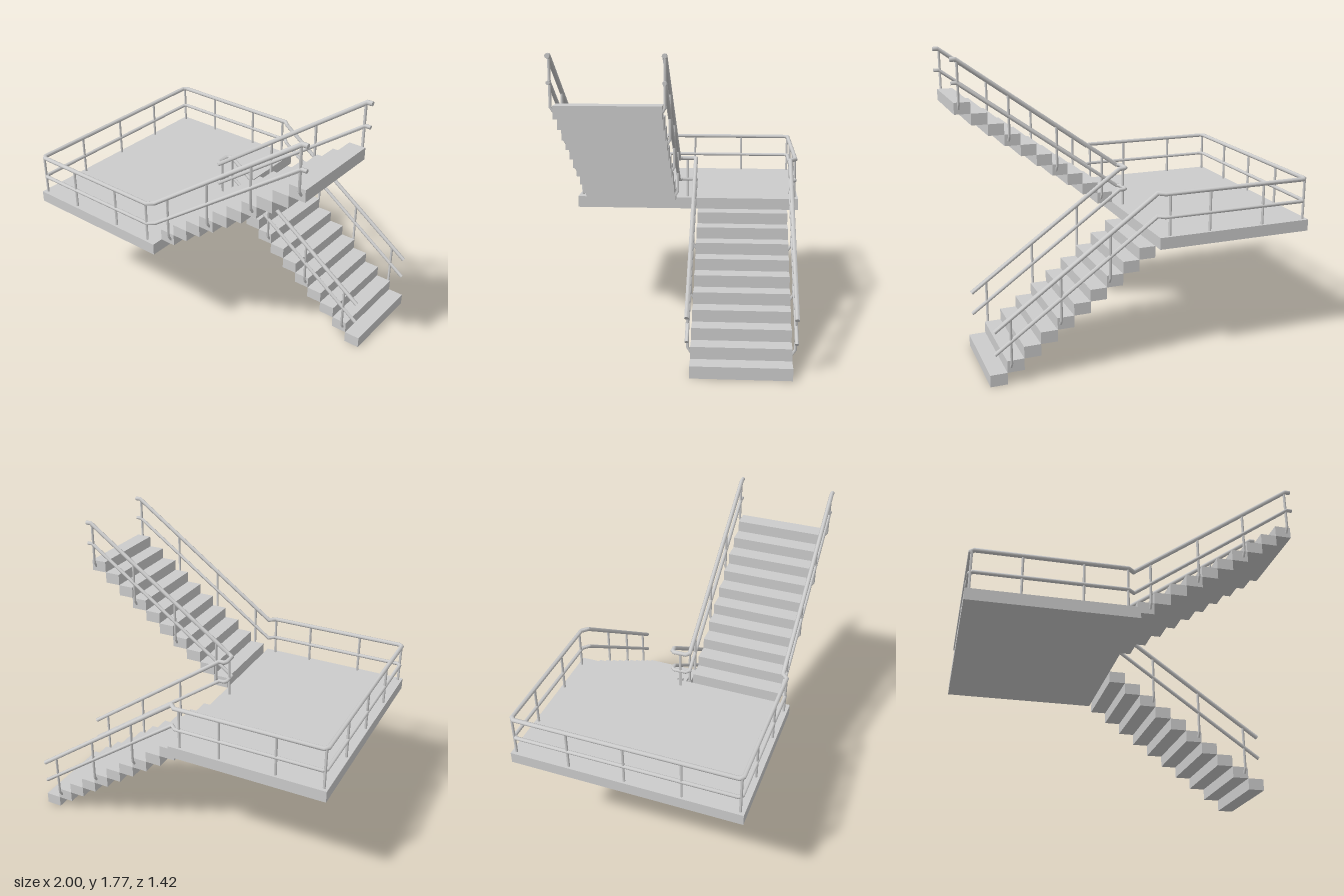
import * as THREE from 'three';
import { toCreasedNormals } from 'three/addons/utils/BufferGeometryUtils.js';

const STEPS = 10, RISE = 0.0715, RUN = 0.1, X0 = -0.015;
const DECK_TOP = 0.786, SLOPE = RISE / RUN;
const FLIGHT_Z = 0.355, FLIGHT_W = 0.57;
const RAIL_IN = 0.055, RAIL_OUT = 0.657, RAIL_DECK = 0.69;

const V = (x, y, z) => new THREE.Vector3(x, y, z);

// Round bar swept along straight segments with mitred corners and closed ends
function barGeometry(points, radius, sides = 8) {
  const dirs = points.slice(1).map((p, i) => p.clone().sub(points[i]).normalize());
  const up = Math.abs(dirs[0].y) > 0.9 ? V(1, 0, 0) : V(0, 1, 0);
  const u = up.clone().cross(dirs[0]).normalize();
  const v = dirs[0].clone().cross(u);
  let ring = [];
  for (let j = 0; j < sides; j++) {
    const a = ((j + 0.5) / sides) * Math.PI * 2;
    ring.push(u.clone().multiplyScalar(Math.cos(a) * radius).addScaledVector(v, Math.sin(a) * radius));
  }
  const pos = [], index = [], last = points.length - 1;
  points.forEach((p, i) => {
    const d1 = dirs[Math.max(i - 1, 0)], d2 = dirs[Math.min(i, last - 1)];
    const n = d1.clone().add(d2);
    if (i > 0) ring = ring.map((o) => o.clone().addScaledVector(d1, -o.dot(n) / d1.dot(n)));
    ring.forEach((o) => pos.push(p.x + o.x, p.y + o.y, p.z + o.z));
  });
  for (let i = 0; i < last; i++) {
    for (let j = 0; j < sides; j++) {
      const a = i * sides + j, b = i * sides + ((j + 1) % sides);
      index.push(a, b, a + sides, b, b + sides, a + sides);
    }
  }
  const e = last * sides;
  for (let j = 1; j < sides - 1; j++) index.push(0, j + 1, j, e, e + j, e + j + 1);
  const g = new THREE.BufferGeometry();
  g.setAttribute('position', new THREE.Float32BufferAttribute(pos, 3));
  g.setIndex(index);
  return toCreasedNormals(g, 0.9);
}

export function createModel() {
  const model = new THREE.Group();
  model.name = 'staircase';
  const material = new THREE.MeshStandardMaterial({ color: 0xcccccc });

  const add = (parent, name, geometry, x = 0, y = 0, z = 0) => {
    const mesh = new THREE.Mesh(geometry, material);
    mesh.name = name;
    mesh.position.set(x, y, z);
    parent.add(mesh);
  };
  const group = (name) => {
    const g = new THREE.Group();
    g.name = name;
    model.add(g);
    return g;
  };

  // Landing slab
  add(model, 'landing', new THREE.BoxGeometry(0.985, 0.071, 1.424), -0.5075, DECK_TOP - 0.0355, 0);

  // Two flights of block steps
  const lower = group('lowerFlight'), upper = group('upperFlight');
  const step = new THREE.BoxGeometry(RUN, RISE, FLIGHT_W);
  for (let i = 0; i < STEPS; i++) {
    const x = X0 + (i + 0.5) * RUN;
    add(lower, 'step', step, x, (STEPS - 0.5 - i) * RISE, -FLIGHT_Z);
    add(upper, 'step', step, x, DECK_TOP + (i + 0.5) * RISE, FLIGHT_Z);
  }

  // Handrail and middle rail: outer run wraps the landing, inner run turns around the gap
  const rails = group('railings');
  const KL = -0.02, KU = -0.042;
  for (const [name, y, r] of [['handrail', 1.038, 0.0135], ['middleRail', 0.9, 0.0115]]) {
    const low = (z) => [V(0.957, y - (0.957 - KL) * SLOPE, z), V(KL, y, z)];
    const high = (z) => {
      const top = y + (0.965 - KU) * SLOPE;
      return [V(KU, y, z), V(0.965, top, z), V(0.998, top, z)];
    };
    const d = RAIL_DECK, c = 0.02;
    add(rails, name, barGeometry([
      ...low(-RAIL_OUT), V(-0.055, y, -d),
      V(-0.98 + c, y, -d), V(-0.98, y, -d + c), V(-0.98, y, d - c), V(-0.98 + c, y, d),
      V(-0.08, y, d), ...high(RAIL_OUT),
    ], r));
    add(rails, name, barGeometry([
      ...low(-RAIL_IN), V(-0.05, y, -RAIL_IN), V(-0.063, y, -RAIL_IN + 0.013),
      V(-0.063, y, RAIL_IN - 0.02), ...high(RAIL_IN),
    ], r));
  }

  // Upright posts on the landing
  const posts = group('posts');
  const deckPost = (x, z) =>
    add(posts, 'landingPost', barGeometry([V(x, DECK_TOP - 0.005, z), V(x, 1.038, z)], 0.008));
  for (const s of [-1, 1]) {
    for (const x of [-0.69, -0.34, -0.083]) deckPost(x, s * RAIL_DECK);
    deckPost(-0.975, s * (RAIL_DECK - 0.005));
    deckPost(-0.98, s * 0.345);
  }
  deckPost(-0.98, 0);
  deckPost(-0.063, 0);

  // Stair posts, bent inward at the foot to meet the side of a step
  const stairPost = (x, foot, top, side) => {
    for (const [z, edge] of [[RAIL_IN, 0.074], [RAIL_OUT, 0.636]]) {
      add(posts, 'stairPost', barGeometry([
        V(x, foot, side * edge), V(x, foot + 0.03, side * z), V(x, top, side * z),
      ], 0.008));
    }
  };
  for (const x of [0.27, 0.567, 0.863]) {
    const i = Math.floor((x - X0) / RUN);
    stairPost(x, (STEPS - 0.5 - i) * RISE - 0.005, 1.038 - (x - KL) * SLOPE, -1);
  }
  for (const x of [0.06, 0.358, 0.658, 0.958]) {
    const i = Math.floor((x - X0) / RUN);
    stairPost(x, DECK_TOP + (i + 0.5) * RISE - 0.005, 1.038 + (x - KU) * SLOPE, 1);
  }

  return model;
}
